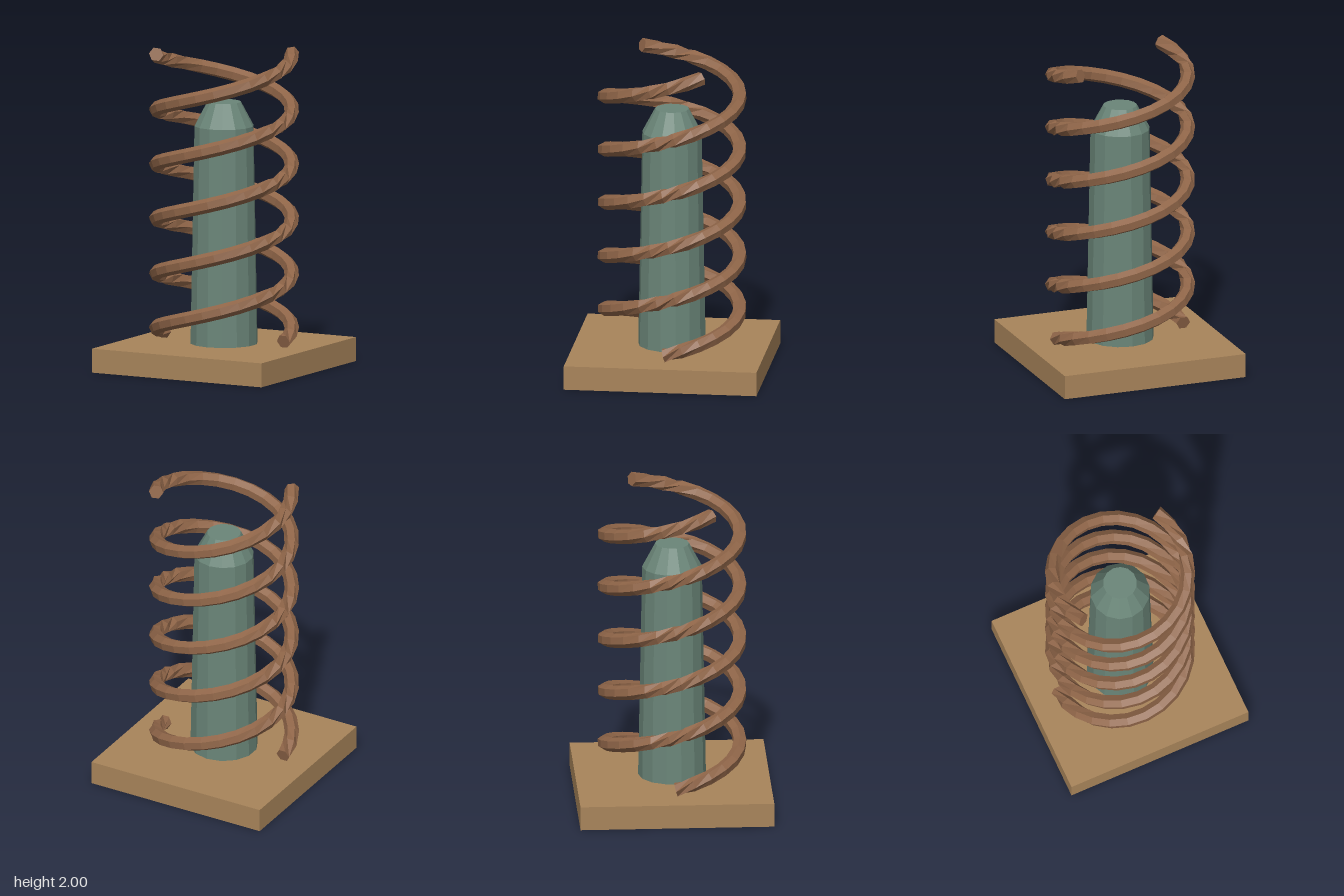
import * as THREE from 'three';

const mat = (color) => new THREE.MeshStandardMaterial({ color, flatShading: true });

const COIL = { radius: 0.42, y0: 0.19, rise: 1.77, turns: 2.592, wire: 0.045, steps: 64, sides: 6 };

// Hexagonal wire swept along a helix, closed at both ends
function coilGeometry(startAngle) {
  const { radius, y0, rise, turns, wire, steps, sides } = COIL;
  const total = turns * Math.PI * 2;
  const pos = [], index = [];
  const zAxis = new THREE.Vector3(0, 0, 1);
  const n = new THREE.Vector3(), b = new THREE.Vector3(), t = new THREE.Vector3();
  const c = new THREE.Vector3(), p = new THREE.Vector3();
  for (let i = 0; i <= steps; i++) {
    const a = startAngle + (i / steps) * total;
    c.set(radius * Math.cos(a), y0 + (rise * i) / steps, -radius * Math.sin(a));
    t.set(-radius * Math.sin(a), rise / total, -radius * Math.cos(a)).normalize();
    // The frame follows the z axis, so the wire twists at the two sides
    n.crossVectors(zAxis, t).normalize();
    b.crossVectors(t, n);
    for (let j = 0; j < sides; j++) {
      const q = (j / sides) * Math.PI * 2;
      p.copy(c).addScaledVector(n, wire * Math.cos(q)).addScaledVector(b, wire * Math.sin(q));
      pos.push(p.x, p.y, p.z);
    }
  }
  for (let i = 0; i < steps; i++) {
    for (let j = 0; j < sides; j++) {
      const k = (j + 1) % sides, r = i * sides, s = r + sides;
      index.push(r + j, r + k, s + j, r + k, s + k, s + j);
    }
  }
  // End caps
  const last = steps * sides;
  for (let j = 1; j < sides - 1; j++) {
    index.push(0, j + 1, j, last, last + j, last + j + 1);
  }
  const g = new THREE.BufferGeometry();
  g.setAttribute('position', new THREE.Float32BufferAttribute(pos, 3));
  g.setIndex(index);
  const flat = g.toNonIndexed();
  flat.computeVertexNormals();
  return flat;
}

export function createModel() {
  const group = new THREE.Group();
  const add = (name, geometry, material, y = 0) => {
    const mesh = new THREE.Mesh(geometry, material);
    mesh.name = name;
    mesh.position.y = y;
    group.add(mesh);
  };

  // Square base plate
  add('basePlate', new THREE.BoxGeometry(1.2, 0.15, 1.2), mat(0xa8845a), 0.075);

  // Tapered post with a chamfered tip
  const green = mat(0x6a8578);
  add('post', new THREE.CylinderGeometry(0.185, 0.21, 1.36, 14, 1, true), green, 0.83);
  add('postTip', new THREE.CylinderGeometry(0.105, 0.185, 0.15, 14), green, 1.585);

  // Two interleaved coils, half a turn apart
  const brown = mat(0x8f6548);
  add('coilRight', coilGeometry(Math.PI), brown);
  add('coilLeft', coilGeometry(0), brown);

  return group;
}
